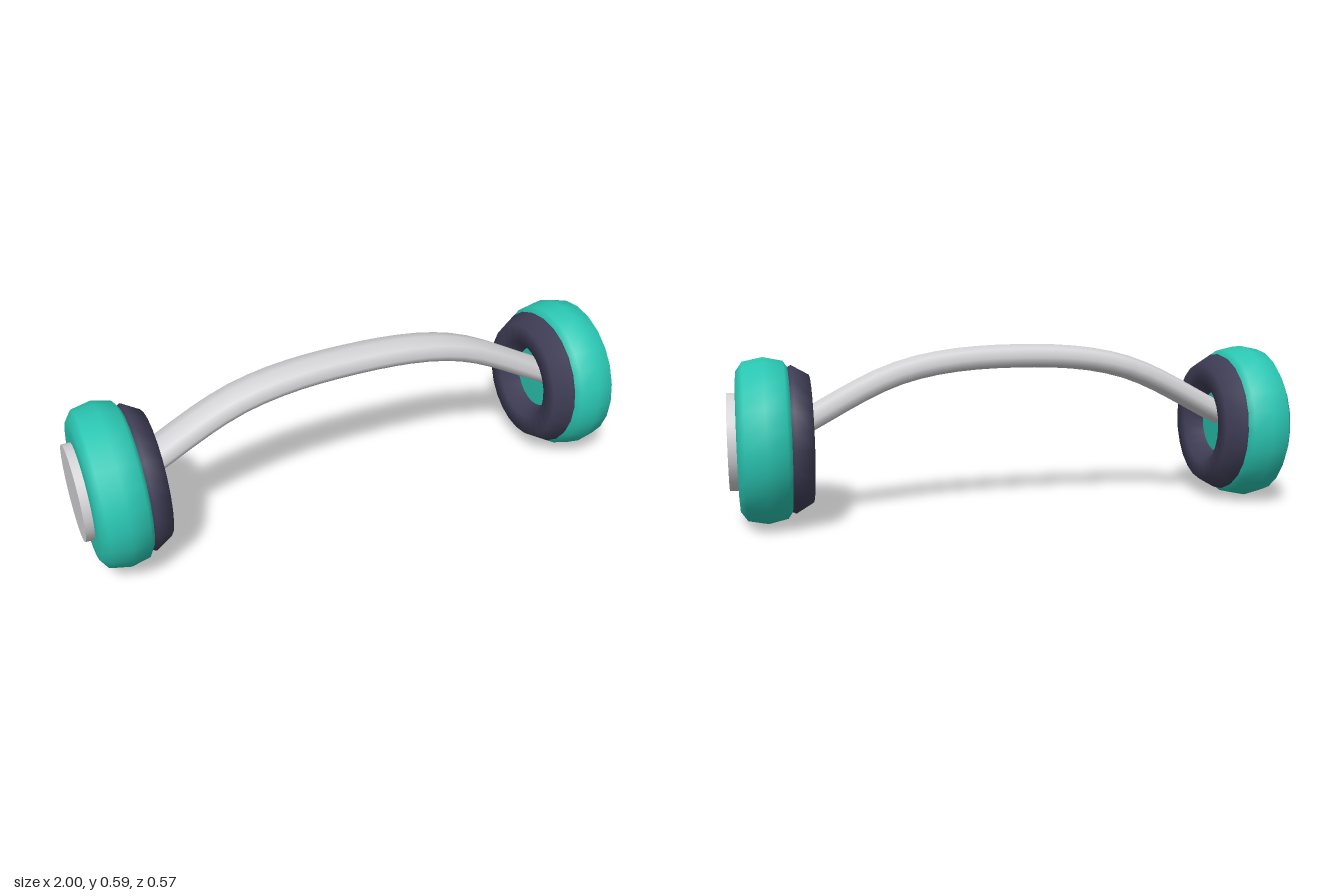
import * as THREE from 'three';

const material = (name, color) => {
  const m = new THREE.MeshStandardMaterial({ color });
  m.name = name;
  return m;
};

export function createModel() {
  const teal = material('teal', 0x2ac6b2);
  const grey = material('lightGrey', 0xd4d4d7);
  const dark = material('darkPlum', 0x403e57);
  const model = new THREE.Group();
  model.name = 'headphones';

  const add = (parent, name, geometry, mat) => {
    const mesh = new THREE.Mesh(geometry, mat);
    mesh.name = name;
    parent.add(mesh);
    return mesh;
  };

  // Headband: an eight-sided tube along an arch, widened front to back
  const arch = new THREE.CatmullRomCurve3(
    [[-0.8, 0.315], [-0.4, 0.508], [0, 0.552], [0.4, 0.508], [0.8, 0.315]]
      .map(([x, y]) => new THREE.Vector3(x, y, 0)));
  const band = new THREE.TubeGeometry(arch, 24, 0.042, 8);
  band.scale(1, 1, 1.9);
  add(model, 'headband', band, grey);

  // Rounded cup profile: radius and distance along the ear axis
  const cupProfile = [
    [0, 0.787], [0.19, 0.787], [0.237, 0.79], [0.27, 0.812], [0.284, 0.878],
    [0.27, 0.945], [0.237, 0.968], [0.19, 0.971], [0, 0.971],
  ].map(([r, d]) => new THREE.Vector2(r, d));

  for (const side of [1, -1]) {
    const ear = new THREE.Group();
    ear.name = side > 0 ? 'leftEarpiece' : 'rightEarpiece';
    ear.position.y = 0.285;
    if (side < 0) ear.rotation.y = Math.PI;

    // Cup shell
    const cup = new THREE.LatheGeometry(cupProfile, 24);
    cup.rotateZ(-Math.PI / 2);
    add(ear, 'earCup', cup, teal);

    // Soft ring on the inner face
    const pad = new THREE.TorusGeometry(0.185, 0.07, 6, 24);
    pad.rotateY(Math.PI / 2);
    pad.translate(0.786, 0, 0);
    add(ear, 'earCushion', pad, dark);

    // Round plate on the outer face
    const plate = new THREE.CylinderGeometry(0.166, 0.166, 0.05, 24);
    plate.rotateZ(-Math.PI / 2);
    plate.translate(0.975, 0, 0);
    add(ear, 'outerPlate', plate, grey);

    model.add(ear);
  }
  return model;
}
